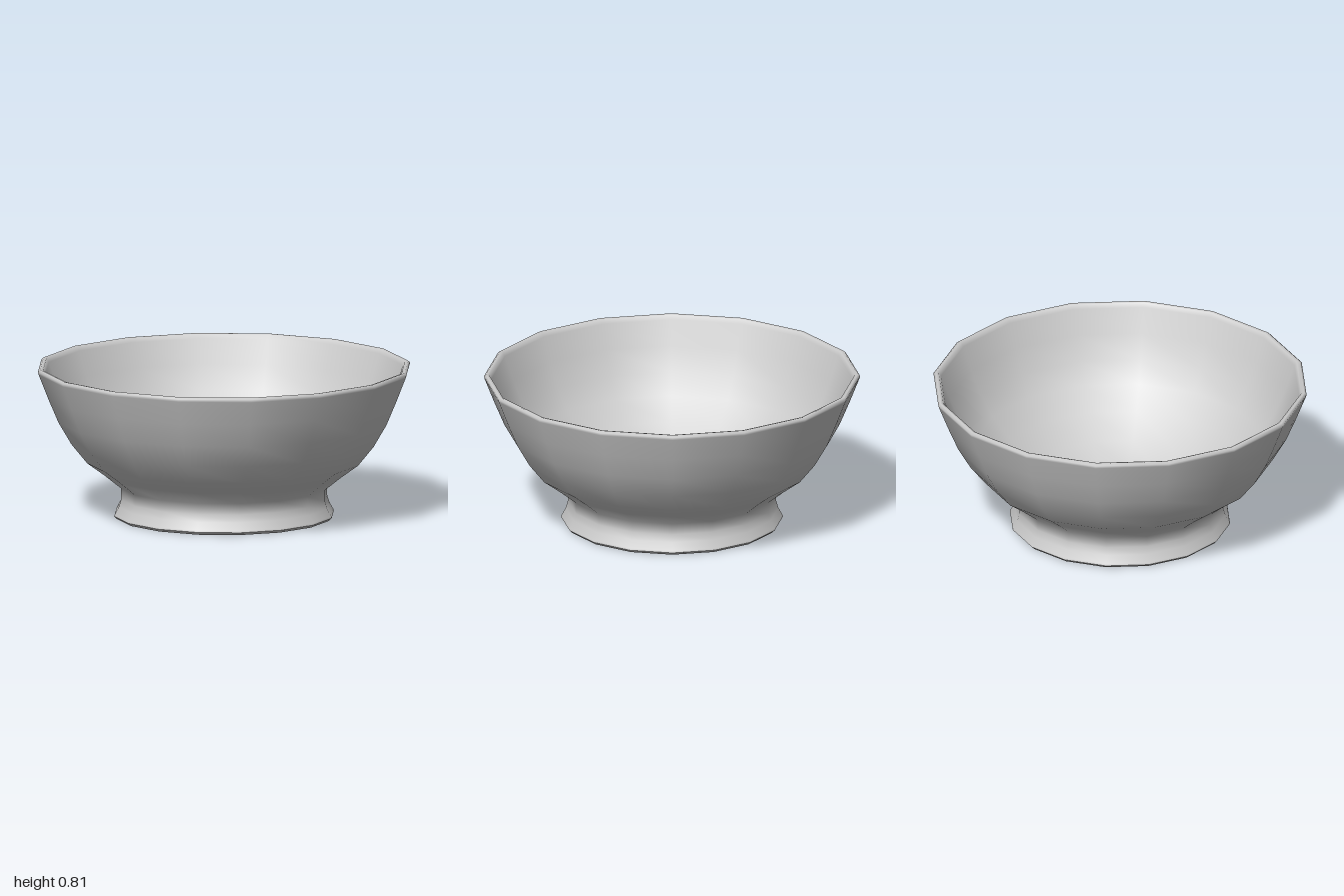
import * as THREE from 'three';

const SIDES = 16;

export function createModel() {
  const group = new THREE.Group();
  group.name = 'footedBowl';
  const ceramic = new THREE.MeshStandardMaterial({ color: 0xcccccc });
  ceramic.name = 'light grey ceramic';

  // Revolve a profile of [radius, height] points around the y axis
  const turn = (name, profile) => {
    const points = profile.map(([r, y]) => new THREE.Vector2(r, y));
    const mesh = new THREE.Mesh(new THREE.LatheGeometry(points, SIDES), ceramic);
    mesh.name = name;
    group.add(mesh);
  };

  // Flat underside with a small bevel at its edge
  turn('base', [[0, 0], [0.575, 0], [0.59, 0.015]]);

  // Flared foot ring, narrowing to the neck, then the outer wall, rim and deep rounded inside
  turn('bowl', [
    [0.59, 0.015], [0.587, 0.025], [0.565, 0.065], [0.553, 0.105], [0.553, 0.165],
    [0.64, 0.235], [0.735, 0.305], [0.82, 0.41], [0.89, 0.53], [0.945, 0.66],
    [0.996, 0.79], [1, 0.805], [0.988, 0.815], [0.972, 0.812], [0.96, 0.79],
    [0.912, 0.66], [0.855, 0.53], [0.785, 0.42], [0.68, 0.31],
    [0.55, 0.2], [0.4, 0.105], [0.2, 0.045], [0, 0.025],
  ]);

  return group;
}
